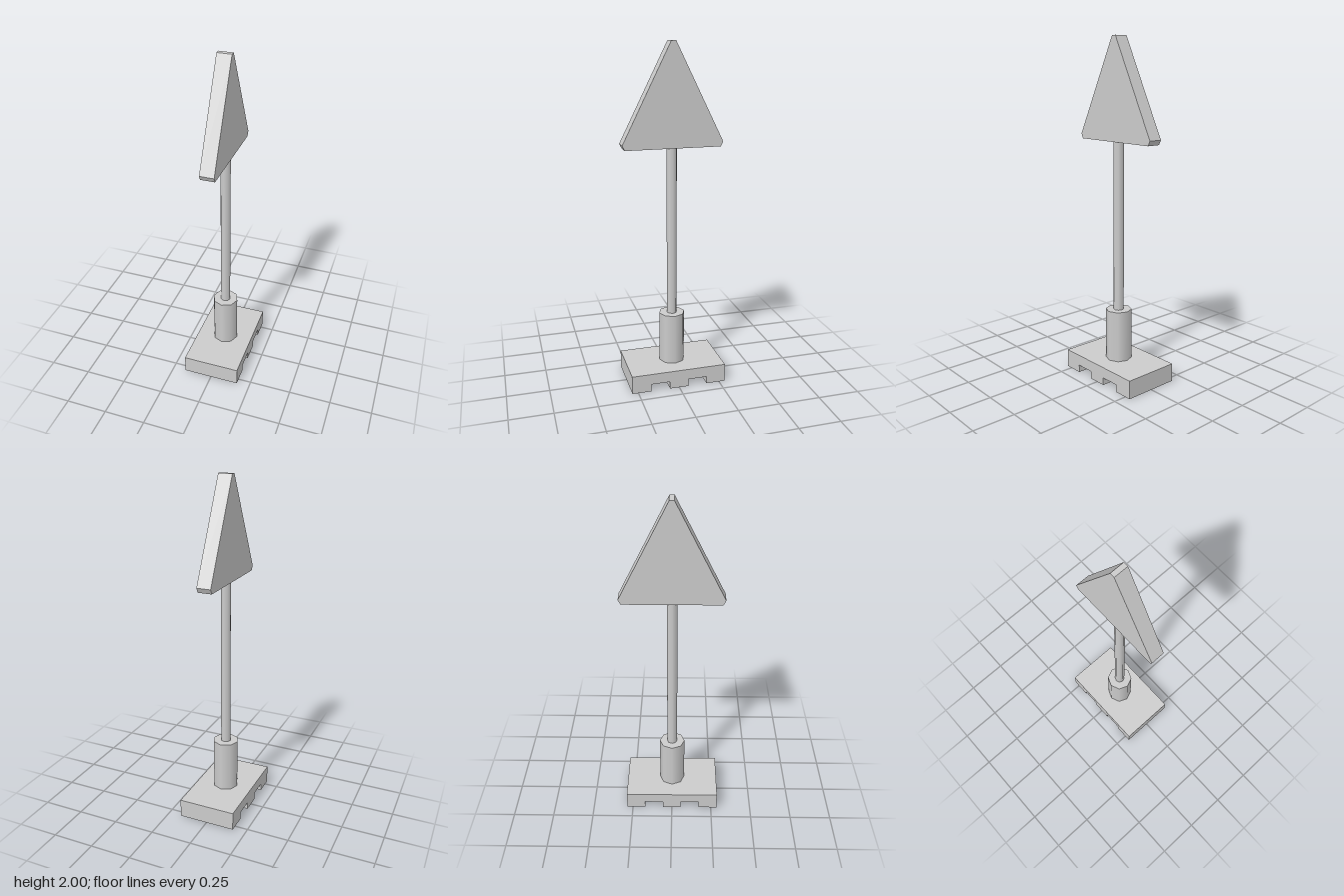
import * as THREE from 'three';

const material = new THREE.MeshStandardMaterial({ color: 0xcccccc });

function addMesh(group, name, geometry) {
  const mesh = new THREE.Mesh(geometry, material);
  mesh.name = name;
  group.add(mesh);
}

// Extrudes a [z, y] outline across x, from xMin to xMax.
function sideProfile(points, xMin, xMax) {
  const shape = new THREE.Shape(points.map(([z, y]) => new THREE.Vector2(z, y)));
  const geometry = new THREE.ExtrudeGeometry(shape, { depth: xMax - xMin, bevelEnabled: false });
  return geometry.rotateY(-Math.PI / 2).translate(xMax, 0, 0);
}

// Upright eight-sided cylinder between two heights.
function post(radius, bottom, top) {
  return new THREE.CylinderGeometry(radius, radius, top - bottom, 8)
    .translate(0, (bottom + top) / 2, 0);
}

export function createModel() {
  const model = new THREE.Group();
  model.name = 'warningSign';

  // Foot with two grooves running across its underside
  addMesh(model, 'base', sideProfile([
    [-0.286, 0], [-0.171, 0], [-0.171, 0.045], [-0.056, 0.045], [-0.056, 0],
    [0.057, 0], [0.057, 0.045], [0.172, 0.045], [0.172, 0],
    [0.286, 0], [0.286, 0.11], [-0.286, 0.11],
  ], -0.171, 0.171));

  // Socket and pole
  addMesh(model, 'socket', post(0.077, 0.11, 0.418));
  addMesh(model, 'pole', post(0.03, 0.418, 1.417));

  // Triangular plate with clipped corners
  addMesh(model, 'signPlate', sideProfile([
    [-0.279, 1.417], [0.277, 1.417], [0.291, 1.445],
    [0.012, 2], [-0.015, 2], [-0.293, 1.445],
  ], -0.044, 0.038));

  return model;
}
